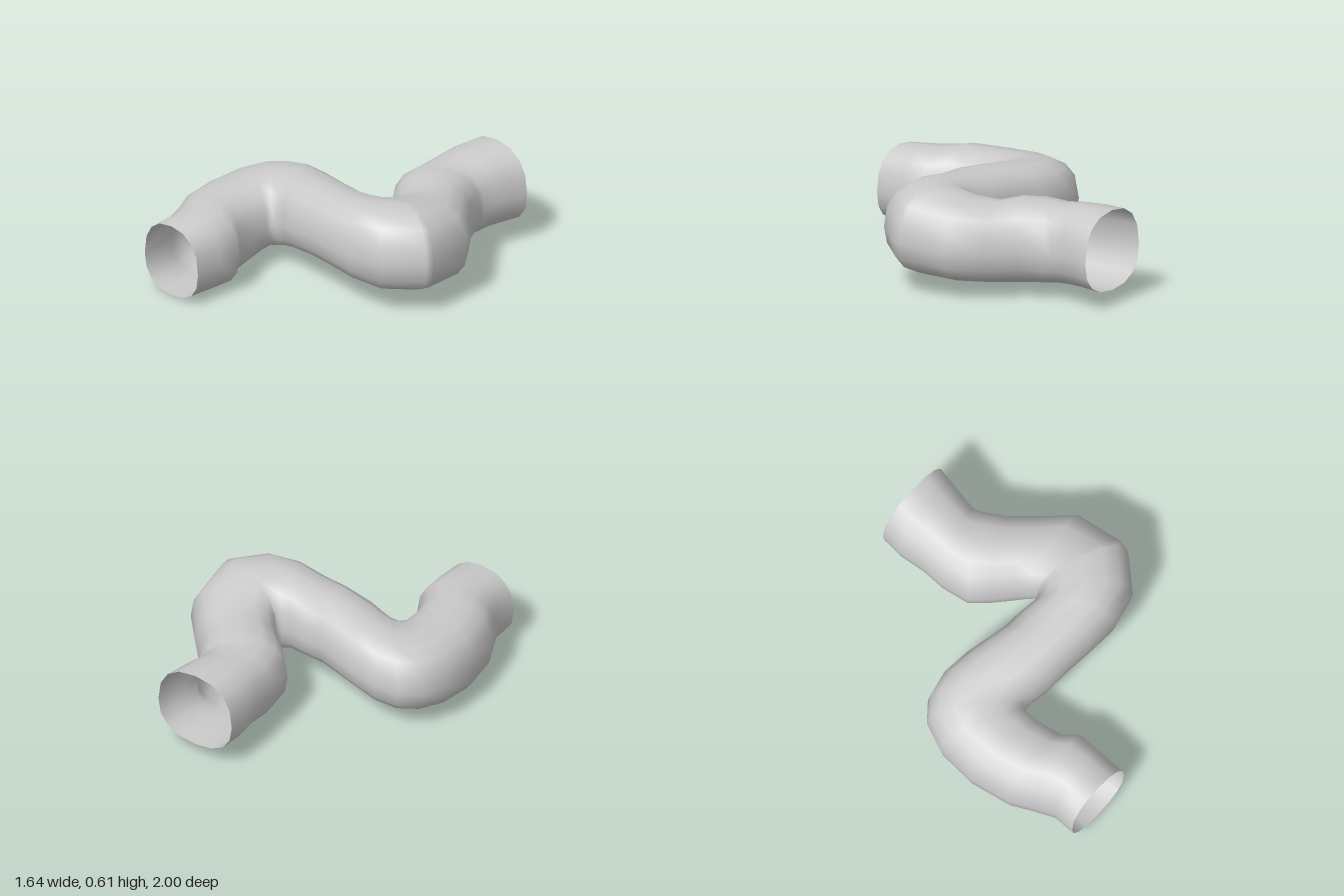
import * as THREE from 'three';

// Cross-sections along the winding passage:
// [left x, left z, right x, right z, floor y, roof y]
const SECTIONS = [
  [-0.65, 1.00, -0.20, 1.00, 0.01, 0.45],
  [-0.65, 0.86, -0.20, 0.82, 0.005, 0.47],
  [-0.70, 0.75, -0.20, 0.67, 0.00, 0.48],
  [-0.77, 0.61, -0.27, 0.60, 0.00, 0.49],
  [-0.82, 0.36, -0.30, 0.46, 0.02, 0.49],
  [-0.81, 0.12, -0.31, 0.35, 0.05, 0.50],
  [-0.74, -0.05, -0.30, 0.32, 0.07, 0.51],
  [-0.63, -0.14, -0.26, 0.315, 0.08, 0.52],
  [-0.48, -0.17, -0.21, 0.32, 0.10, 0.54],
  [-0.30, -0.15, -0.13, 0.345, 0.13, 0.55],
  [-0.04, -0.085, 0.05, 0.355, 0.145, 0.575],
  [0.08, -0.08, 0.22, 0.37, 0.145, 0.575],
  [0.19, -0.06, 0.42, 0.38, 0.13, 0.60],
  [0.24, -0.07, 0.63, 0.33, 0.11, 0.61],
  [0.26, -0.09, 0.81, 0.13, 0.10, 0.61],
  [0.25, -0.11, 0.82, 0.08, 0.10, 0.60],
  [0.22, -0.14, 0.78, -0.22, 0.09, 0.57],
  [0.15, -0.21, 0.63, -0.39, 0.075, 0.54],
  [0.07, -0.28, 0.50, -0.53, 0.07, 0.56],
  [-0.02, -0.38, 0.42, -0.67, 0.07, 0.55],
  [-0.05, -0.55, 0.41, -0.71, 0.08, 0.54],
  [-0.05, -0.70, 0.42, -0.79, 0.09, 0.56],
  [-0.07, -0.86, 0.44, -0.89, 0.09, 0.57],
  [-0.06, -1.00, 0.46, -1.00, 0.09, 0.575],
];
const SIDES = 16;

// Rounded, slightly squared ring, widest below its middle
function ringPoint([ax, az, bx, bz, y0, y1], j) {
  const t = (j / SIDES) * Math.PI * 2;
  const squash = v => Math.sign(v) * Math.abs(v) ** 0.84;
  const across = squash(Math.cos(t)) * 0.5 + 0.5;
  const up = squash(Math.sin(t));
  const waist = y0 + (y1 - y0) * 0.45;
  const y = waist + up * (up > 0 ? y1 - waist : waist - y0);
  return [ax + (bx - ax) * across, y, az + (bz - az) * across];
}

export function createModel() {
  const group = new THREE.Group();
  group.name = 'windingTunnel';

  // Open tube skinned over the rings
  const positions = [], indices = [];
  SECTIONS.forEach((section, i) => {
    for (let j = 0; j < SIDES; j++) {
      positions.push(...ringPoint(section, j));
      if (i === SECTIONS.length - 1) continue;
      const k = (j + 1) % SIDES;
      const a = i * SIDES + j, b = i * SIDES + k;
      indices.push(a, a + SIDES, b, b, a + SIDES, b + SIDES);
    }
  });
  const geometry = new THREE.BufferGeometry();
  geometry.setAttribute('position', new THREE.Float32BufferAttribute(positions, 3));
  geometry.setIndex(indices);
  geometry.computeVertexNormals();

  const wall = new THREE.Mesh(geometry, new THREE.MeshStandardMaterial({
    color: 0xcccccc, side: THREE.DoubleSide,
  }));
  wall.name = 'tunnelWall';
  group.add(wall);
  return group;
}
